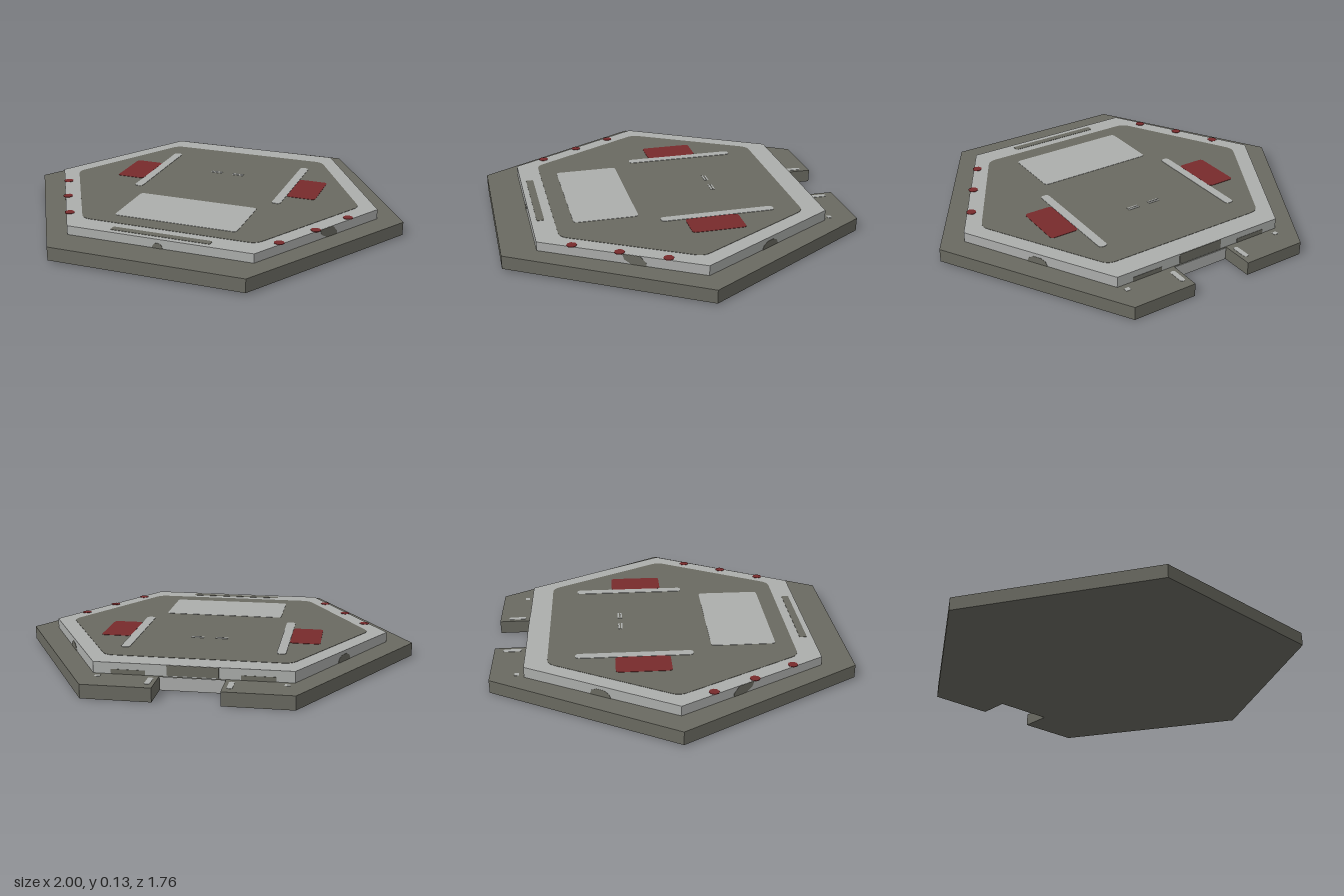
import * as THREE from 'three';

const mat = (name, color) => new THREE.MeshStandardMaterial({ name, color });

export function createModel() {
  const dark = mat('olive grey', 0x6a6a61);
  const light = mat('light grey', 0xacaeac);
  const red = mat('dark red', 0x782a2c);
  const model = new THREE.Group();
  model.name = 'hexagonalPlatform';

  const add = (parent, name, geometry, material) => {
    const mesh = new THREE.Mesh(geometry, material);
    mesh.name = name;
    parent.add(mesh);
    return mesh;
  };
  const polygon = (pts) => new THREE.Shape(pts.map(([x, y]) => new THREE.Vector2(x, y)));

  // Outline with its corners rounded by r
  const rounded = (pts, r) => {
    const s = new THREE.Shape();
    pts.forEach((p, i) => {
      const c = new THREE.Vector2(...p);
      const toward = (q) => c.clone().add(new THREE.Vector2(...q).sub(c).setLength(r));
      const a = toward(pts[(i + pts.length - 1) % pts.length]);
      const b = toward(pts[(i + 1) % pts.length]);
      if (i) s.lineTo(a.x, a.y); else s.moveTo(a.x, a.y);
      s.quadraticCurveTo(c.x, c.y, b.x, b.y);
    });
    s.closePath();
    return s;
  };
  const rect = (x0, x1, z0, z1) => [[x0, z0], [x1, z0], [x1, z1], [x0, z1]];
  const hex = (x, cx, cz) => [[x, 0], [cx, cz], [-cx, cz], [-x, 0], [-cx, -cz], [cx, -cz]];

  // Lays an x/z outline flat, with its upper face at the given height
  const slab = (shape, top, depth) =>
    new THREE.ExtrudeGeometry(shape, { depth, bevelEnabled: false, curveSegments: 5 })
      .rotateX(Math.PI / 2).translate(0, top, 0);

  // Slightly tilted base with the notch in its back edge
  const base = new THREE.Group();
  base.name = 'base';
  base.rotation.x = -0.0065;
  model.add(base);
  add(base, 'basePlate', slab(polygon([
    [1, 0], [0.48, 0.88], [-0.48, 0.88], [-1, 0], [-0.48, -0.88],
    [-0.153, -0.88], [-0.153, -0.718], [0.153, -0.718], [0.153, -0.88], [0.48, -0.88],
  ]), 0.0725, 0.0665), dark);
  add(base, 'notchWall', new THREE.BoxGeometry(0.3, 0.062, 0.004).translate(0, 0.039, -0.719), light);

  // Raised deck, its dark panel and the front strip
  const deckTop = 0.122;
  add(model, 'deck', slab(polygon(hex(0.87, 0.463, 0.715)), deckTop, 0.07), light);
  add(model, 'deckPanel', slab(rounded(hex(0.778, 0.438, 0.605), 0.04), deckTop + 0.0015, 0.003), dark);
  add(model, 'frontStrip', slab(rounded(rect(-0.25, 0.245, 0.65, 0.687), 0.008), deckTop + 0.0015, 0.003), dark);
  add(model, 'frontPad', slab(rounded(rect(-0.312, 0.312, 0.197, 0.517), 0.02), deckTop + 0.003, 0.003), light);

  for (const s of [1, -1]) {
    // Marks on the deck
    const mirrored = (x0, x1, z0, z1) => rect(Math.min(s * x0, s * x1), Math.max(s * x0, s * x1), z0, z1);
    add(model, 'redPanel', slab(rounded(mirrored(0.4, 0.549, -0.28, -0.012), 0.02), deckTop + 0.003, 0.003), red);
    add(model, 'sideBar', slab(rounded(mirrored(0.354, 0.399, -0.472, 0.102), 0.02), deckTop + 0.0035, 0.003), light);
    for (const z of [-0.252, -0.238]) {
      add(model, 'centreDash', slab(polygon(mirrored(0.03, 0.092, z - 0.004, z + 0.004)), deckTop + 0.003, 0.003), light);
    }
    for (const [x, z] of [[0.757, 0.157], [0.65, 0.36], [0.532, 0.56]]) {
      add(model, 'edgeLight', new THREE.CylinderGeometry(0.025, 0.025, 0.003, 8)
        .translate(s * x, deckTop + 0.0005, z), red);
    }

    // Marks on the two back tabs
    add(base, 'tabSlot', slab(rounded(mirrored(0.172, 0.198, -0.835, -0.745), 0.012), 0.074, 0.003), light);
    add(base, 'tabSpot', slab(polygon(mirrored(0.42, 0.445, -0.762, -0.74)), 0.074, 0.003), light);

    // Dark patches on the slanted deck walls
    const wallPatch = (name, pts, z) => {
      const patch = add(model, name, new THREE.ExtrudeGeometry(polygon(pts.map(([u, y]) => [u * s, y])),
        { depth: 0.003, bevelEnabled: false }).translate(0, 0, -0.0015), dark);
      const x = 0.87 - 0.407 * Math.abs(z) / 0.715;
      patch.position.set(s * x, 0, z);
      patch.rotation.y = s * Math.atan2(0.715, 0.407 * Math.sign(z));
    };
    wallPatch('frontWallPatch', [[-0.06, 0.121], [-0.05, 0.095], [-0.01, 0.072], [0.055, 0.072], [0.055, 0.09], [0.025, 0.121]], 0.3);
    wallPatch('backWallPatch', [[-0.055, 0.07], [0.055, 0.07], [0.045, 0.092], [0.02, 0.104], [-0.02, 0.104], [-0.045, 0.09]], -0.355);

    // Low patches along the back wall
    add(model, 'backWallLowPatch', new THREE.BoxGeometry(0.16, 0.025, 0.003).translate(s * 0.3, 0.078, -0.715), dark);
  }

  // Dark patch above the notch and half-round mark on the front wall
  add(model, 'backCentrePatch', new THREE.BoxGeometry(0.24, 0.049, 0.003).translate(0, 0.0965, -0.7155), dark);
  add(model, 'frontMark', new THREE.CylinderGeometry(0.026, 0.026, 0.003, 14)
    .rotateX(Math.PI / 2).translate(0, 0.077, 0.715), dark);

  return model;
}
